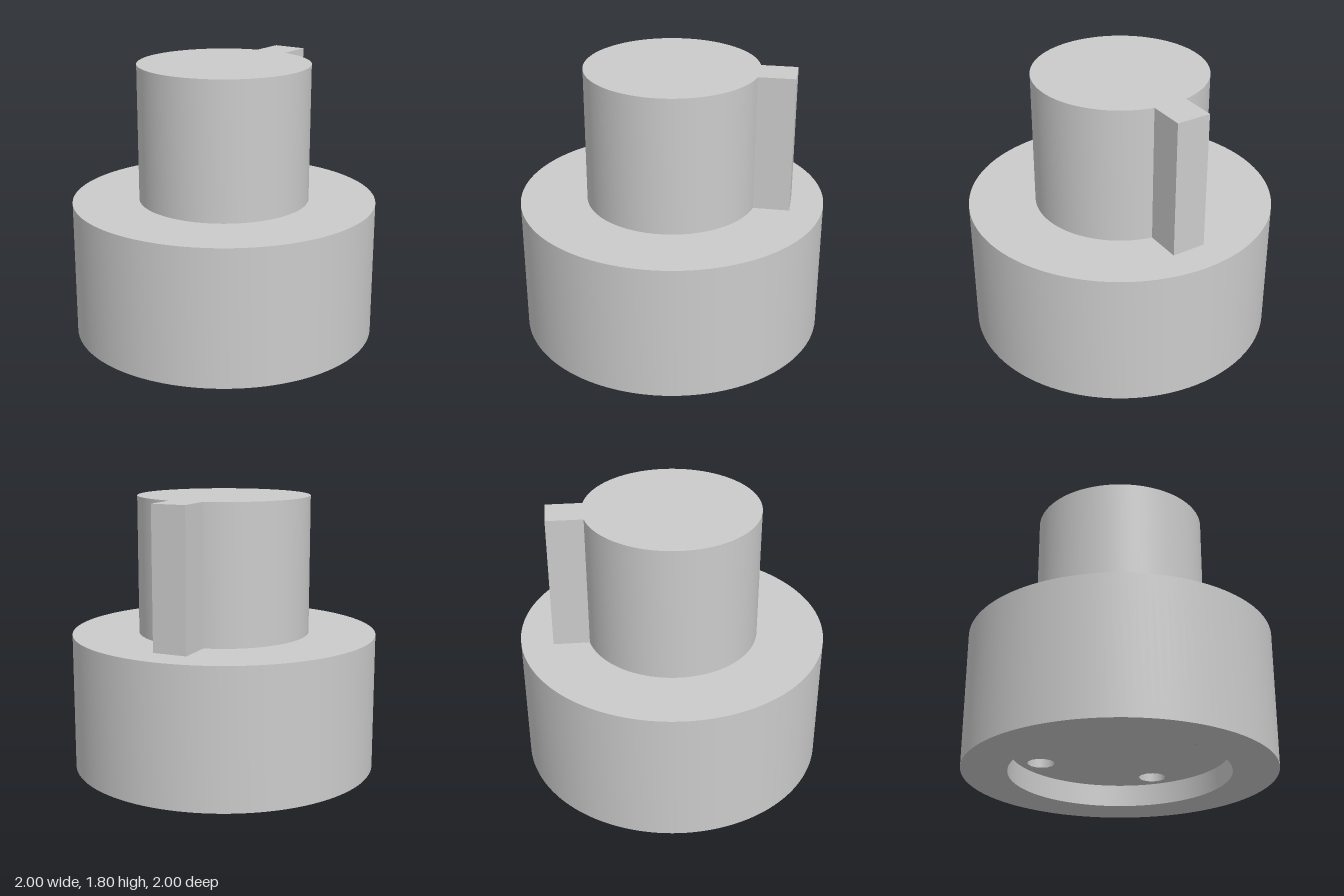
import * as THREE from 'three';
import { toCreasedNormals } from 'three/addons/utils/BufferGeometryUtils.js';

const U = 1 / 8.9; // design unit: the base radius is 8.9 units
const BASE_TOP = 8 * U, TOP = 16 * U;
const RECESS_R = 6.3 * U, RECESS_Y = 1.3 * U;
const HOLE_R = 0.8 * U, HOLE_RING = 5 * U, HOLE_TOP = 3 * U;
const HUB_R = 5 * U, KEY_HALF = 1 * U, KEY_END = 7 * U;

const material = new THREE.MeshStandardMaterial({ color: 0xcccccc });

function addMesh(group, name, geometry) {
  const mesh = new THREE.Mesh(toCreasedNormals(geometry, 0.5), material);
  mesh.name = name;
  group.add(mesh);
  return mesh;
}

function lathe(points, segments) {
  return new THREE.LatheGeometry(points.map(([r, y]) => new THREE.Vector2(r, y)), segments);
}

export function createModel() {
  const group = new THREE.Group();
  group.name = 'keyedHub';

  // Base drum: recess wall, bottom rim, outer wall and top
  addMesh(group, 'base', lathe(
    [[RECESS_R, RECESS_Y], [RECESS_R, 0], [1, 0], [1, BASE_TOP], [0, BASE_TOP]], 128));

  // Recess ceiling, pierced by four blind holes on the diagonals
  const ceiling = new THREE.Shape().absarc(0, 0, RECESS_R, 0, Math.PI * 2, false);
  for (let i = 0; i < 4; i++) {
    const a = Math.PI / 4 + i * Math.PI / 2;
    const x = HOLE_RING * Math.cos(a), z = HOLE_RING * Math.sin(a);
    ceiling.holes.push(new THREE.Path().absarc(x, z, HOLE_R, 0, Math.PI * 2, true));
    const hole = addMesh(group, 'mountingHole' + (i + 1), lathe(
      [[0, HOLE_TOP], [HOLE_R, HOLE_TOP], [HOLE_R, RECESS_Y]], 32));
    hole.position.set(x, 0, z);
  }
  const ceilingGeometry = new THREE.ShapeGeometry(ceiling, 64);
  ceilingGeometry.rotateX(Math.PI / 2);
  addMesh(group, 'recessCeiling', ceilingGeometry).position.y = RECESS_Y;

  // Upper shaft with its key on the left side
  const a = Math.asin(KEY_HALF / HUB_R);
  const outline = new THREE.Shape();
  outline.absarc(0, 0, HUB_R, a, Math.PI * 2 - a, false);
  outline.lineTo(KEY_END, -KEY_HALF);
  outline.lineTo(KEY_END, KEY_HALF);
  outline.closePath();
  const shaft = new THREE.ExtrudeGeometry(outline, {
    depth: TOP - BASE_TOP, bevelEnabled: false, curveSegments: 64,
  });
  shaft.rotateX(-Math.PI / 2);
  addMesh(group, 'keyedShaft', shaft).position.y = BASE_TOP;

  return group;
}
